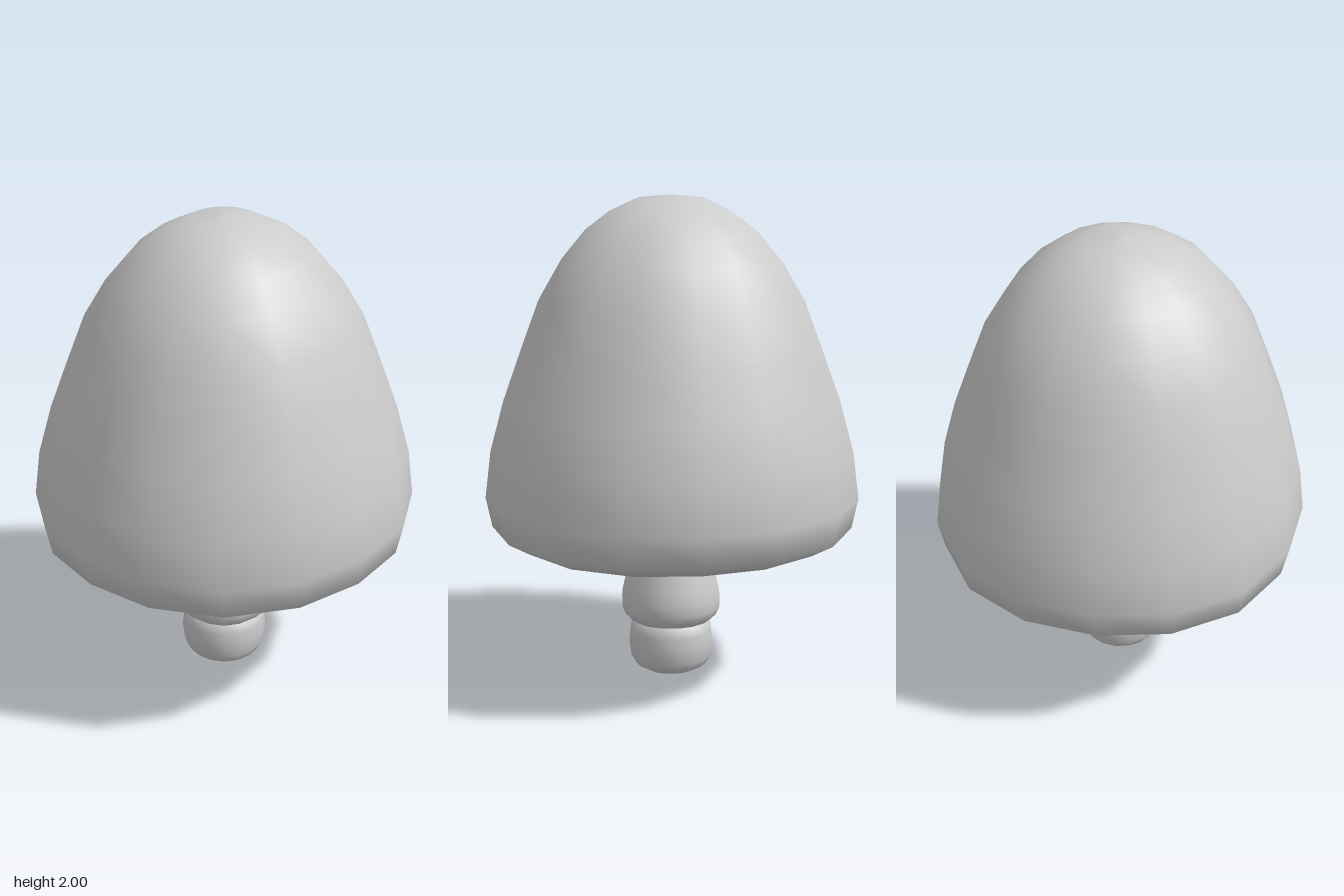
import * as THREE from 'three';

const SIDES = 16;
const material = new THREE.MeshStandardMaterial({ color: 0xcccccc, side: THREE.DoubleSide });

// Lathe a [radius, height] profile listed from bottom to top;
// bulge widens it slightly on the diagonals.
function turned(name, profile, bulge) {
  const points = profile.map(([r, y]) => new THREE.Vector2(r, y));
  const geometry = new THREE.LatheGeometry(points, SIDES);
  const pos = geometry.attributes.position;
  for (let i = 0; i < pos.count; i++) {
    const x = pos.getX(i), z = pos.getZ(i);
    const k = 1 + bulge * Math.sin(2 * Math.atan2(x, z)) ** 2;
    pos.setXYZ(i, x * k, pos.getY(i), z * k);
  }
  const mesh = new THREE.Mesh(geometry, material);
  mesh.name = name;
  return mesh;
}

export function createModel() {
  const group = new THREE.Group();
  group.name = 'mushroom';

  // Tall bell cap with a hollowed underside, from the stem joint to the tip
  group.add(turned('cap', [
    [0.09, 0.715], [0.12, 0.735], [0.2, 0.73], [0.34, 0.69], [0.5, 0.64],
    [0.65, 0.614], [0.74, 0.667], [0.765, 0.79], [0.74, 0.984], [0.683, 1.19],
    [0.605, 1.405], [0.535, 1.59], [0.45, 1.735], [0.35, 1.855], [0.249, 1.932],
    [0.132, 1.987], [0, 2],
  ], 0.03));

  // Flared skirt of the stem
  group.add(turned('stemSkirt', [
    [0.14, 0.232], [0.165, 0.238], [0.192, 0.26], [0.207, 0.295], [0.207, 0.345],
    [0.195, 0.4], [0.17, 0.495], [0.127, 0.614], [0.1, 0.68], [0.09, 0.72],
  ], 0.02));

  // Rounded foot of the stem
  group.add(turned('stemFoot', [
    [0, 0], [0.06, 0.01], [0.11, 0.02], [0.15, 0.043], [0.17, 0.08],
    [0.177, 0.14], [0.172, 0.19], [0.164, 0.235], [0.13, 0.25],
  ], 0.02));

  return group;
}
